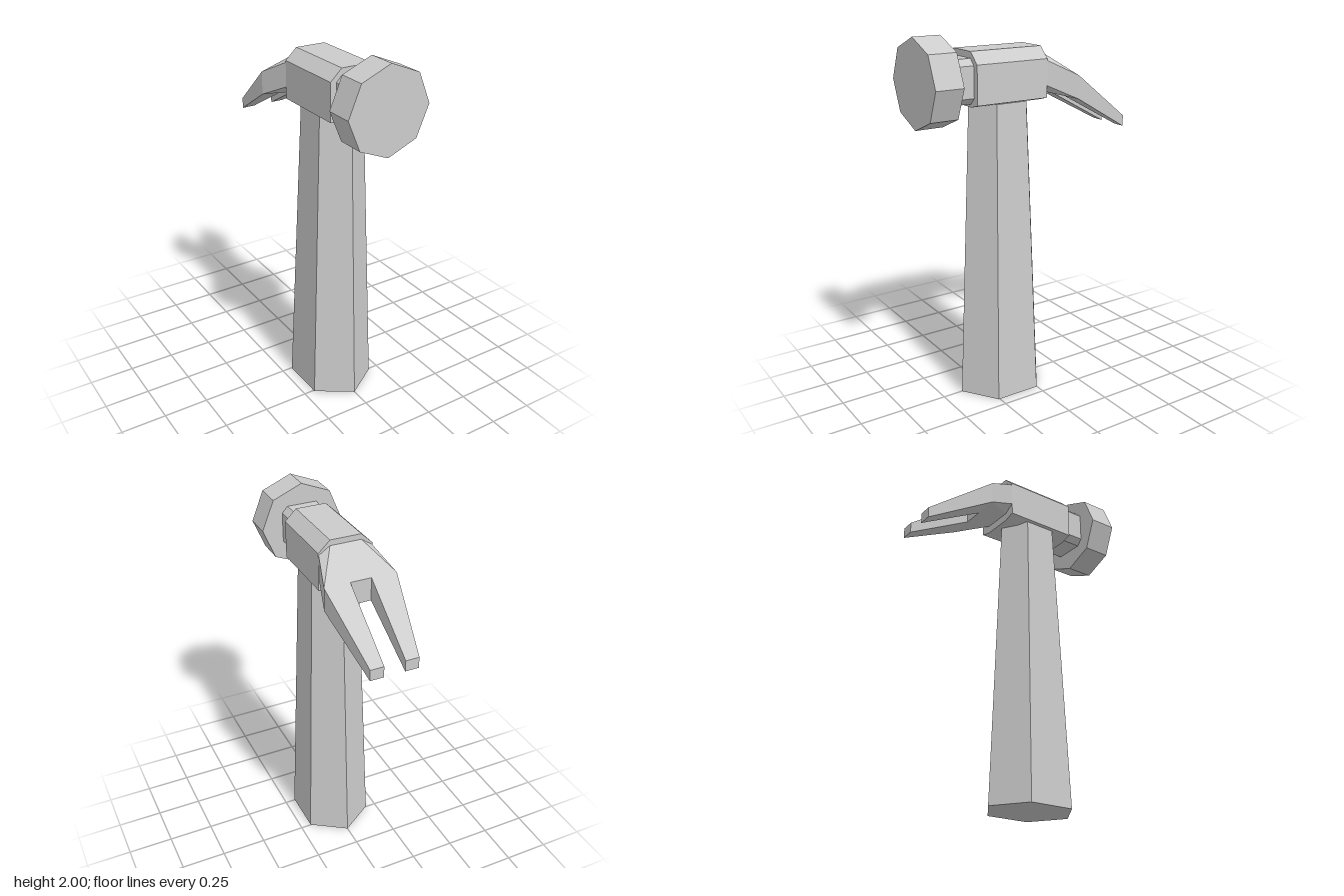
import * as THREE from 'three';

const material = new THREE.MeshStandardMaterial({ color: 0xcccccc, flatShading: true });

// Skins rings of [x, y] points (counter-clockwise from the front), listed from back to front.
function loft(name, sections) {
  const pos = [];
  const tri = (a, b, c) => {
    const area = new THREE.Triangle(...[a, b, c].map((p) => new THREE.Vector3(...p))).getArea();
    if (area > 1e-7) pos.push(...a, ...b, ...c);
  };
  const rings = sections.map(({ z, ring }) => ring.map(([x, y]) => [x, y, z]));
  const n = rings[0].length;
  for (let s = 0; s < rings.length - 1; s++) {
    const back = rings[s], front = rings[s + 1];
    for (let i = 0; i < n; i++) {
      const j = (i + 1) % n;
      tri(back[i], back[j], front[j]);
      tri(back[i], front[j], front[i]);
    }
  }
  const first = rings[0], last = rings[rings.length - 1];
  for (let i = 1; i < n - 1; i++) {
    tri(first[0], first[i + 1], first[i]);
    tri(last[0], last[i], last[i + 1]);
  }
  const geo = new THREE.BufferGeometry();
  geo.setAttribute('position', new THREE.Float32BufferAttribute(pos, 3));
  geo.computeVertexNormals();
  const mesh = new THREE.Mesh(geo, material);
  mesh.name = name;
  return mesh;
}

// Rectangle with chamfered corners: half width w, flat half width f, heights from bottom to top.
const octagon = (w, f, y0, y1, y2, y3) => [
  [-f, y0], [f, y0], [w, y1], [w, y2], [f, y3], [-f, y3], [-w, y2], [-w, y1],
];
const rect = (x0, x1, y0, y1) => [[x0, y0], [x1, y0], [x1, y1], [x0, y1]];

export function createModel() {
  const hammer = new THREE.Group();
  hammer.name = 'hammer';

  // Tapered six-sided handle, its top tucked into the head
  const handleGeo = new THREE.CylinderGeometry(0.154, 0.22, 1.65, 6);
  handleGeo.scale(1, 1, 1.16);
  const handle = new THREE.Mesh(handleGeo, material);
  handle.name = 'handle';
  handle.position.set(0, 0.825, 0.13);
  hammer.add(handle);

  // Chamfered block over the handle
  const body = octagon(0.148, 0.085, 1.64, 1.657, 1.86, 1.92);
  hammer.add(loft('headBody', [{ z: -0.08, ring: body }, { z: 0.34, ring: body }]));

  // Neck between the block and the striking face
  const neck = octagon(0.115, 0.083, 1.657, 1.69, 1.853, 1.886);
  hammer.add(loft('neck', [{ z: 0.34, ring: neck }, { z: 0.46, ring: neck }]));

  // Eight-sided striking face, one corner up
  const faceGeo = new THREE.CylinderGeometry(0.231, 0.231, 0.155, 8);
  faceGeo.rotateX(Math.PI / 2);
  const face = new THREE.Mesh(faceGeo, material);
  face.name = 'strikingFace';
  face.position.set(0, 1.769, 0.5375);
  hammer.add(face);

  // Claw root: widens from the block into a flat wedge
  hammer.add(loft('clawRoot', [
    { z: -0.25, ring: octagon(0.196, 0.196, 1.64, 1.64, 1.765, 1.765) },
    { z: -0.08, ring: octagon(0.146, 0.085, 1.685, 1.72, 1.85, 1.89) },
  ]));

  // Two claw prongs with a straight slot between them
  for (const side of [1, -1]) {
    const prongRing = (inner, outer, y0, y1) =>
      side > 0 ? rect(inner, outer, y0, y1) : rect(-outer, -inner, y0, y1);
    hammer.add(loft(side > 0 ? 'leftProng' : 'rightProng', [
      { z: -0.615, ring: prongRing(0.057, 0.131, 1.44, 1.5) },
      { z: -0.25, ring: prongRing(0.057, 0.196, 1.64, 1.765) },
    ]));
  }
  return hammer;
}
